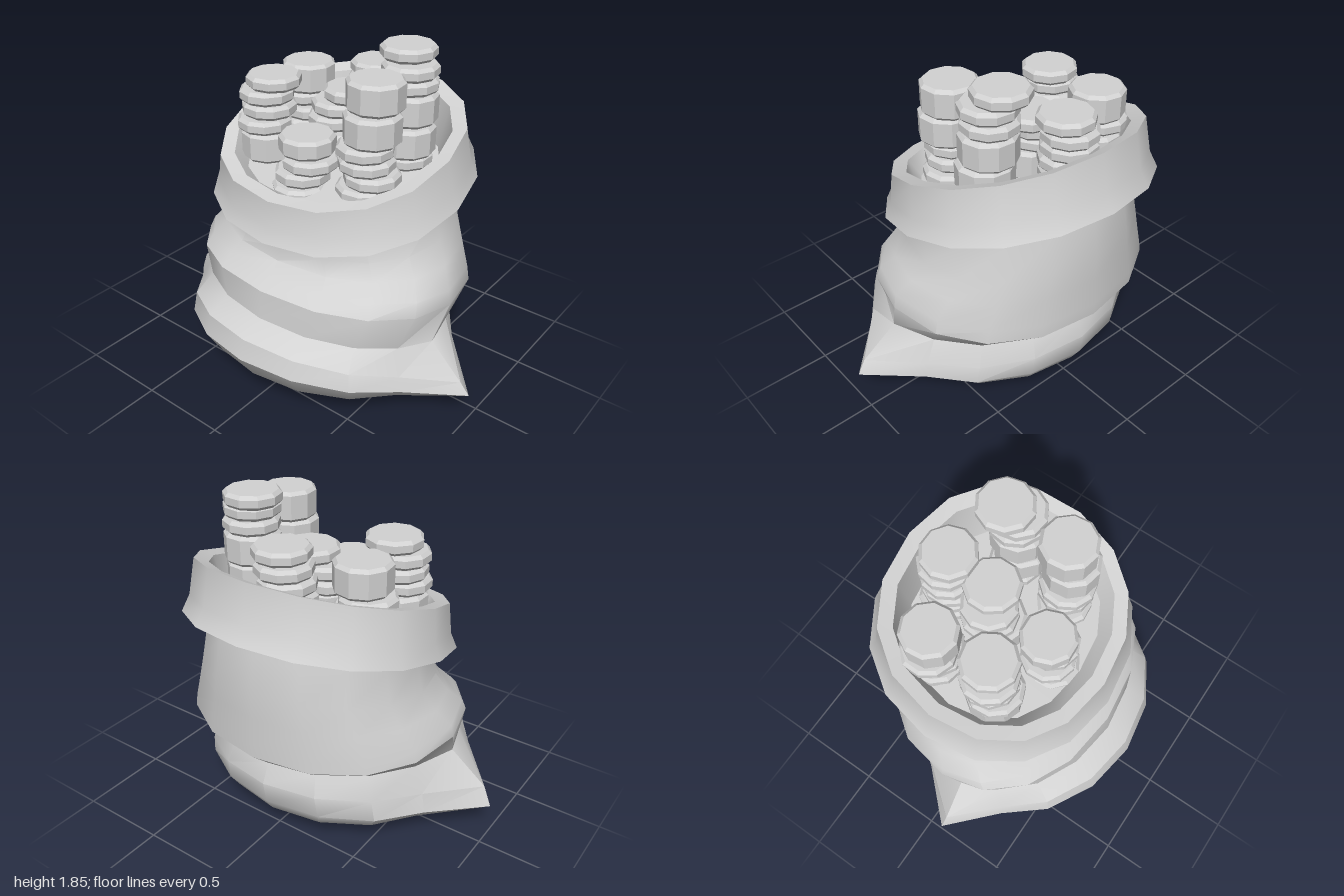
import * as THREE from 'three';
import { toCreasedNormals } from 'three/addons/utils/BufferGeometryUtils.js';

const SEGMENTS = 16;

// Ring: [half width, side tip x, side z, front z, back z, front y, side y, back y, sideways slope]
function skin(rings, crease) {
  const pos = [], index = [];
  for (const [w, tip, zs, f, b, yF, yS, yB, slope = 0] of rings) {
    // Rings without corner tips are slightly fuller on the diagonals
    const power = tip > w ? 1 : 0.92;
    for (let j = 0; j < SEGMENTS; j++) {
      const a = (j / SEGMENTS) * Math.PI * 2, s = Math.sin(a), c = Math.cos(a);
      const isSide = j % (SEGMENTS / 2) === SEGMENTS / 4;
      const front = c > 0, k = isSide ? 0 : Math.abs(c) ** power;
      const x = Math.sign(s) * Math.abs(s) ** power * (isSide ? tip : w);
      pos.push(
        x,
        yS + ((front ? yF : yB) - yS) * k - slope * x,
        zs + ((front ? f : b) - zs) * k
      );
    }
  }
  for (let i = 0; i < rings.length - 1; i++) {
    for (let j = 0; j < SEGMENTS; j++) {
      const a = i * SEGMENTS + j, b = i * SEGMENTS + ((j + 1) % SEGMENTS);
      const c = a + SEGMENTS, d = b + SEGMENTS;
      index.push(a, b, d, a, d, c);
    }
  }
  const g = new THREE.BufferGeometry();
  g.setAttribute('position', new THREE.Float32BufferAttribute(pos, 3));
  g.setIndex(index);
  return toCreasedNormals(g, crease);
}

// Ten-sided coin with bevelled rims, standing on y = 0
function coinGeometry(height) {
  const r = 0.152, e = 0.018;
  const profile = [[0, 0], [r - e, 0], [r, e], [r, height - e], [r - e, height], [0, height]];
  const g = new THREE.LatheGeometry(profile.map(([x, y]) => new THREE.Vector2(x, y)), 10);
  return toCreasedNormals(g, 0.4);
}

export function createModel() {
  const model = new THREE.Group();
  model.name = 'coinSack';
  const gray = new THREE.MeshStandardMaterial({ color: 0xd2d2d2 });
  gray.name = 'light gray';
  gray.side = THREE.DoubleSide;

  const add = (name, geometry, parent = model) => {
    const mesh = new THREE.Mesh(geometry, gray);
    mesh.name = name;
    parent.add(mesh);
    return mesh;
  };

  // Slumped cloth body with pointed bottom corners and a sagging fold
  const collar = [0.6, 0.6, -0.1, 0.44, -0.63, 1.06, 1.18, 1.3];
  add('sackBody', skin([
    [0, 0, -0.1, -0.1, -0.1, 0, 0, 0],
    [0.35, 0.4, -0.03, 0.25, -0.3, 0.035, 0.02, 0.015],
    [0.62, 0.68, 0.05, 0.53, -0.45, 0.07, 0.065, 0.065],
    [0.74, 0.92, 0.1, 0.69, -0.56, 0.18, 0.13, 0.14],
    [0.8, 1.0, 0.1, 0.78, -0.61, 0.33, 0.17, 0.22, 0.01],
    [0.78, 0.95, 0.11, 0.75, -0.63, 0.445, 0.26, 0.35, 0.03],
    [0.72, 0.75, 0.09, 0.62, -0.58, 0.51, 0.43, 0.46, 0.045],
    [0.79, 0.79, 0, 0.6, -0.7, 0.67, 0.61, 0.57, 0.01],
    [0.775, 0.775, 0, 0.53, -0.7, 0.73, 0.68, 0.64],
    [0.71, 0.71, -0.06, 0.46, -0.69, 0.79, 0.78, 0.8],
    [0.645, 0.645, -0.1, 0.44, -0.69, 0.87, 0.89, 0.96],
    [0.61, 0.61, -0.1, 0.45, -0.66, 0.99, 1.05, 1.15],
    collar,
  ], 0.6));

  // Turned-over cuff, tilted towards the front
  const well = [0.54, 0.54, -0.08, 0.37, -0.58, 1.13, 1.18, 1.26];
  add('cuff', skin([
    collar,
    [0.67, 0.67, -0.1, 0.51, -0.72, 0.985, 1.13, 1.285],
    [0.735, 0.735, -0.1, 0.57, -0.775, 0.95, 1.105, 1.26],
    [0.7, 0.7, -0.1, 0.535, -0.72, 1.03, 1.19, 1.35],
    [0.675, 0.675, -0.08, 0.52, -0.68, 1.17, 1.37, 1.555],
    [0.6, 0.6, -0.08, 0.445, -0.61, 1.185, 1.36, 1.52],
    well,
  ], 0.6));
  add('sackFilling', skin([well, [0, 0, -0.08, -0.08, -0.08, 1.19, 1.19, 1.19]], 0.6));

  // Coin stacks: [x, z, top y, coins from the top down, x and z shift of the lower coins]
  const heights = { n: 0.078, m: 0.11, t: 0.168 };
  const coins = Object.fromEntries(Object.entries(heights).map(([k, h]) => [k, coinGeometry(h - 0.004)]));
  const stacks = [
    [-0.01, -0.42, 1.67, 'nnnnnn', -0.04, 0],
    [-0.38, -0.27, 1.63, 'tnnnn', -0.01, -0.01],
    [0.28, -0.28, 1.85, 'nnnttn', 0.05, 0.05],
    [0, -0.17, 1.59, 'nnntn', -0.06, 0.04],
    [-0.35, 0.06, 1.65, 'nnnnt', -0.03, 0.03],
    [0.32, 0.06, 1.77, 'ttnnnn', -0.02, 0.03],
    [-0.02, 0.18, 1.43, 'mnnn', 0, 0.02],
  ];
  let seed = 7;
  const jitter = () => {
    seed = (seed * 16807) % 2147483647;
    return (seed / 2147483647 - 0.5) * 0.05;
  };
  for (const [x, z, top, kinds, dx, dz] of stacks) {
    const stack = new THREE.Group();
    stack.name = 'coinStack';
    let y = top;
    [...kinds].forEach((kind, i) => {
      y -= heights[kind];
      const coin = add('coin', coins[kind], stack);
      coin.position.set(x + (i ? dx + jitter() : 0), y, z + (i ? dz + jitter() : 0));
      coin.rotation.y = jitter() * 12;
    });
    model.add(stack);
  }
  return model;
}
